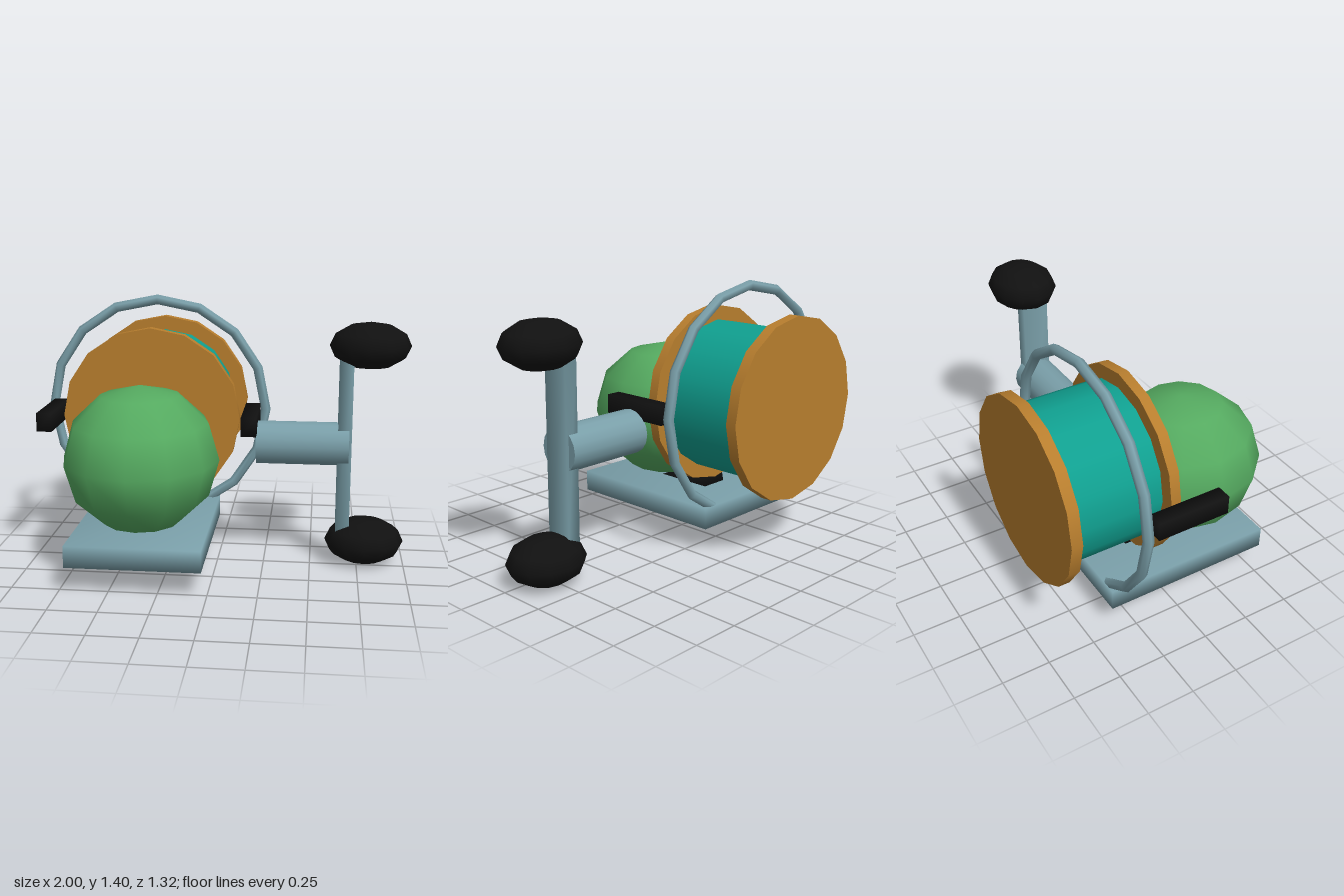
import * as THREE from 'three';
import { mergeVertices } from 'three/addons/utils/BufferGeometryUtils.js';

const material = (name, color) => {
  const m = new THREE.MeshStandardMaterial({ color });
  m.name = name;
  return m;
};

// Box whose corners share one soft normal
function softBox(w, h, d) {
  const g = new THREE.BoxGeometry(w, h, d);
  g.deleteAttribute('normal');
  g.deleteAttribute('uv');
  const merged = mergeVertices(g);
  merged.computeVertexNormals();
  return merged;
}

// Ellipsoid with few segments, poles on y
const ellipsoid = (rx, ry, rz) => new THREE.SphereGeometry(1, 12, 6).scale(rx, ry, rz);

// Cylinder lying along z
const discZ = (r, length) => new THREE.CylinderGeometry(r, r, length, 16).rotateX(Math.PI / 2);

export function createModel() {
  const model = new THREE.Group();
  model.name = 'model';
  const steel = material('steel blue', 0x7a9fa9);
  const black = material('black', 0x111111);
  const orange = material('orange brown', 0xb87e2e);
  const teal = material('teal', 0x10a090);
  const green = material('green', 0x55aa60);

  const add = (name, geometry, mat, x, y, z) => {
    const mesh = new THREE.Mesh(geometry, mat);
    mesh.name = name;
    mesh.position.set(x, y, z);
    model.add(mesh);
    return mesh;
  };

  const cx = -0.37, cy = 0.775;

  // Base plate and the tilted foot under the ball
  add('basePlate', softBox(0.69, 0.113, 0.915), steel, cx, 0.197, 0.087);
  add('foot', softBox(0.155, 0.08, 0.32), black, cx, 0.245, 0.03).rotation.x = 0.2;

  // Ball at the front
  add('ball', ellipsoid(0.404, 0.381, 0.43), green, cx, 0.632, 0.23);

  // Drum with a flange at each end
  add('drum', discZ(0.403, 0.5), teal, cx, cy, -0.37);
  add('frontFlange', discZ(0.48, 0.053), orange, cx, cy, -0.111);
  add('backFlange', discZ(0.48, 0.058), orange, cx, cy, -0.635);

  // Hoop around the drum
  add('hoop', new THREE.TorusGeometry(0.604, 0.027, 6, 16), steel, cx, cy, -0.346);

  // Grips on both sides of the hoop
  for (const [name, side] of [['leftGrip', 1], ['rightGrip', -1]]) {
    add(name, softBox(0.08, 0.098, 0.382), black, cx + side * 0.54, cy, -0.081);
  }

  // Side arm carrying an upright post with a pad at each end
  const armZ = -0.058;
  const arm = new THREE.CylinderGeometry(0.115, 0.115, 0.485, 16).rotateZ(Math.PI / 2);
  add('sideArm', arm, steel, 0.448, 0.66, armZ);
  add('post', softBox(0.072, 1.0, 0.143), steel, 0.669, 0.658, armZ);
  for (const [name, y] of [['upperPad', 1.187], ['lowerPad', 0.128]]) {
    add(name, ellipsoid(0.21, 0.123, 0.181), black, 0.787, y, armZ);
  }

  return model;
}
